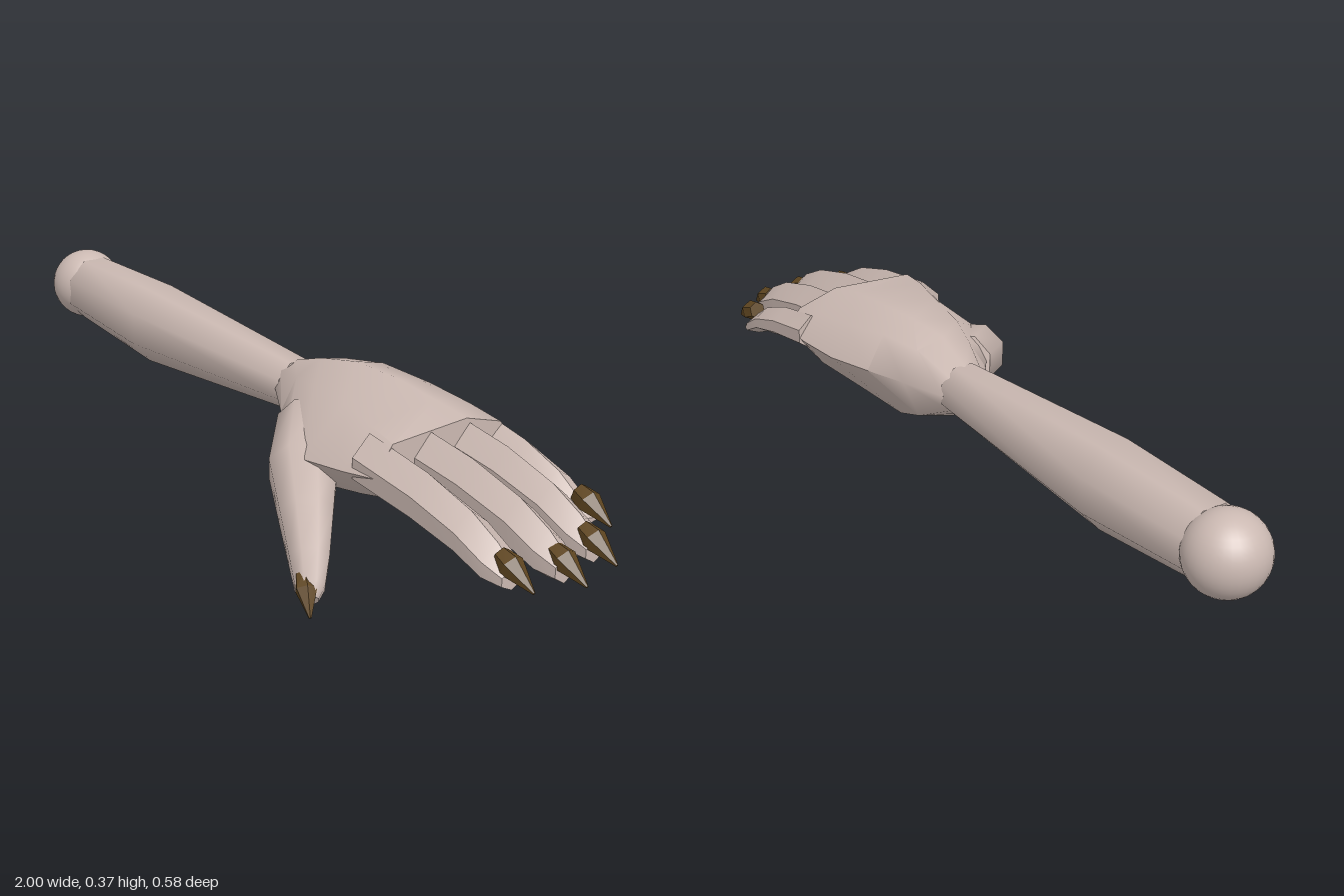
import * as THREE from 'three';
import { toCreasedNormals } from 'three/addons/utils/BufferGeometryUtils.js';

const V = (x, y, z) => new THREE.Vector3(x, y, z);

// Closed skin over rings of equal size, each ring counter-clockwise seen from the far end
function loft(rings, crease) {
  const n = rings[0].length, pos = [], idx = [];
  rings.forEach(r => r.forEach(p => pos.push(p.x, p.y, p.z)));
  for (let i = 0; i < rings.length - 1; i++) {
    for (let j = 0; j < n; j++) {
      const k = (j + 1) % n, a = i * n + j, b = i * n + k;
      idx.push(a, b, b + n, a, b + n, a + n);
    }
  }
  const last = (rings.length - 1) * n;
  for (let j = 1; j < n - 1; j++) {
    idx.push(0, j + 1, j);
    idx.push(last, last + j, last + j + 1);
  }
  const g = new THREE.BufferGeometry();
  g.setAttribute('position', new THREE.Float32BufferAttribute(pos, 3));
  g.setIndex(idx);
  return toCreasedNormals(g, crease);
}

// Elliptic rings square to a path; each stop is [x, y, z, half width, half height]
function limb(stops, sides, crease) {
  const c = stops.map(s => V(s[0], s[1], s[2]));
  const rings = stops.map(([, , , w, h], i) => {
    const d = c[Math.min(i + 1, c.length - 1)].clone().sub(c[Math.max(i - 1, 0)]).normalize();
    const u = V(0, 1, 0).cross(d).normalize();
    const v = d.clone().cross(u);
    return Array.from({ length: sides }, (_, j) => {
      const a = (j + 0.5) / sides * Math.PI * 2;
      return c[i].clone().addScaledVector(u, Math.cos(a) * w).addScaledVector(v, Math.sin(a) * h);
    });
  });
  return loft(rings, crease);
}

export function createModel() {
  const group = new THREE.Group();
  const skin = new THREE.MeshStandardMaterial({ color: 0xcbb9b2 });
  skin.name = 'skin';
  const horn = new THREE.MeshStandardMaterial({ color: 0x5e4520 });
  horn.name = 'horn';
  const add = (name, geometry, material) => {
    const m = new THREE.Mesh(geometry, material);
    m.name = name;
    group.add(m);
    return m;
  };

  // Elbow ball and forearm
  add('elbow', new THREE.SphereGeometry(0.09, 32, 20), skin).position.set(-0.91, 0.288, -0.112);
  add('forearm', limb([
    [-0.87, 0.286, -0.108, 0.08, 0.085],
    [-0.55, 0.268, -0.108, 0.09, 0.102],
    [0.01, 0.263, -0.115, 0.063, 0.062],
  ], 8, 0.9), skin);

  // Palm: x, then [z, y] around from the outer edge over the knuckles to the underside
  const palm = [
    [0, [-0.175, 0.263], [-0.157, 0.304], [-0.115, 0.321], [-0.073, 0.304],
      [-0.055, 0.263], [-0.073, 0.222], [-0.115, 0.205], [-0.157, 0.222]],
    [0.1, [-0.22, 0.27], [-0.18, 0.34], [-0.11, 0.355], [-0.04, 0.325],
      [0.005, 0.25], [-0.03, 0.18], [-0.09, 0.15], [-0.18, 0.175]],
    [0.2, [-0.255, 0.27], [-0.21, 0.35], [-0.13, 0.37], [-0.01, 0.335],
      [0.075, 0.24], [0.03, 0.16], [-0.06, 0.128], [-0.17, 0.138]],
    [0.33, [-0.28, 0.26], [-0.235, 0.335], [-0.14, 0.365], [0.01, 0.342],
      [0.125, 0.24], [0.06, 0.165], [-0.06, 0.16], [-0.2, 0.16]],
    [0.45, [-0.29, 0.26], [-0.245, 0.32], [-0.14, 0.352], [0.04, 0.335],
      [0.115, 0.25], [0.06, 0.185], [-0.07, 0.195], [-0.24, 0.19]],
    [0.54, [-0.285, 0.26], [-0.25, 0.305], [-0.15, 0.335], [0.055, 0.325],
      [0.104, 0.26], [0.06, 0.205], [-0.06, 0.205], [-0.24, 0.205]],
  ];
  add('palm', loft(palm.map(([x, ...ring]) => ring.map(([z, y]) => V(x, y, z))), 0.9), skin);

  // Thumb
  add('thumb', limb([
    [0.17, 0.235, -0.015, 0.07, 0.075],
    [0.29, 0.195, 0.09, 0.08, 0.075],
    [0.39, 0.14, 0.16, 0.062, 0.062],
    [0.47, 0.085, 0.215, 0.046, 0.048],
    [0.515, 0.046, 0.248, 0.034, 0.036],
    [0.535, 0.03, 0.262, 0.018, 0.018],
  ], 8, 0.9), skin);
  add('thumbClaw', limb([
    [0.5, 0.07, 0.252, 0.02, 0.02],
    [0.525, 0.052, 0.265, 0.025, 0.02],
    [0.566, 0.01, 0.287, 0.003, 0.003],
  ], 6, 0.1), horn);

  // Ridged fingers, each curling down to a claw
  const fingers = [
    ['index', 0.058, 0.046, 0.9, 0.328, 0.132],
    ['middle', -0.05, 0.044, 0.935, 0.337, 0.128],
    ['ring', -0.16, 0.042, 0.91, 0.333, 0.132],
    ['little', -0.255, 0.035, 0.805, 0.312, 0.152],
  ];
  // Along the finger: fraction of length, drop of the top, height of the underside, width scale
  const curl = [[0, 0, 0.07, 1], [0.42, 0.028, 0.05, 1], [0.72, 0.065, 0.03, 1],
    [0.9, 0.105, 0.004, 0.92], [1, 0.14, 0.006, 0.6]];
  for (const [name, z, w, tip, top, low] of fingers) {
    const x0 = 0.47;
    const rings = curl.map(([t, drop, rise, s]) => {
      const x = x0 + (tip - x0) * t, hi = top - drop, lo = low + rise;
      const at = f => lo + (hi - lo) * f, h = w * s;
      return [V(x, at(0.28), z - h), V(x, at(0.65), z - h), V(x, hi, z),
        V(x, at(0.65), z + h), V(x, at(0.28), z + h), V(x, lo, z)];
    });
    add(name + 'Finger', loft(rings, 0.4), skin);
    const y = low + 0.06;
    add(name + 'Claw', limb([
      [tip - 0.035, y + 0.006, z, 0.021, 0.022],
      [tip - 0.005, y - 0.004, z, 0.029, 0.026],
      [tip + 0.06, y - 0.038, z, 0.003, 0.003],
    ], 6, 0.1), horn);
  }
  return group;
}
